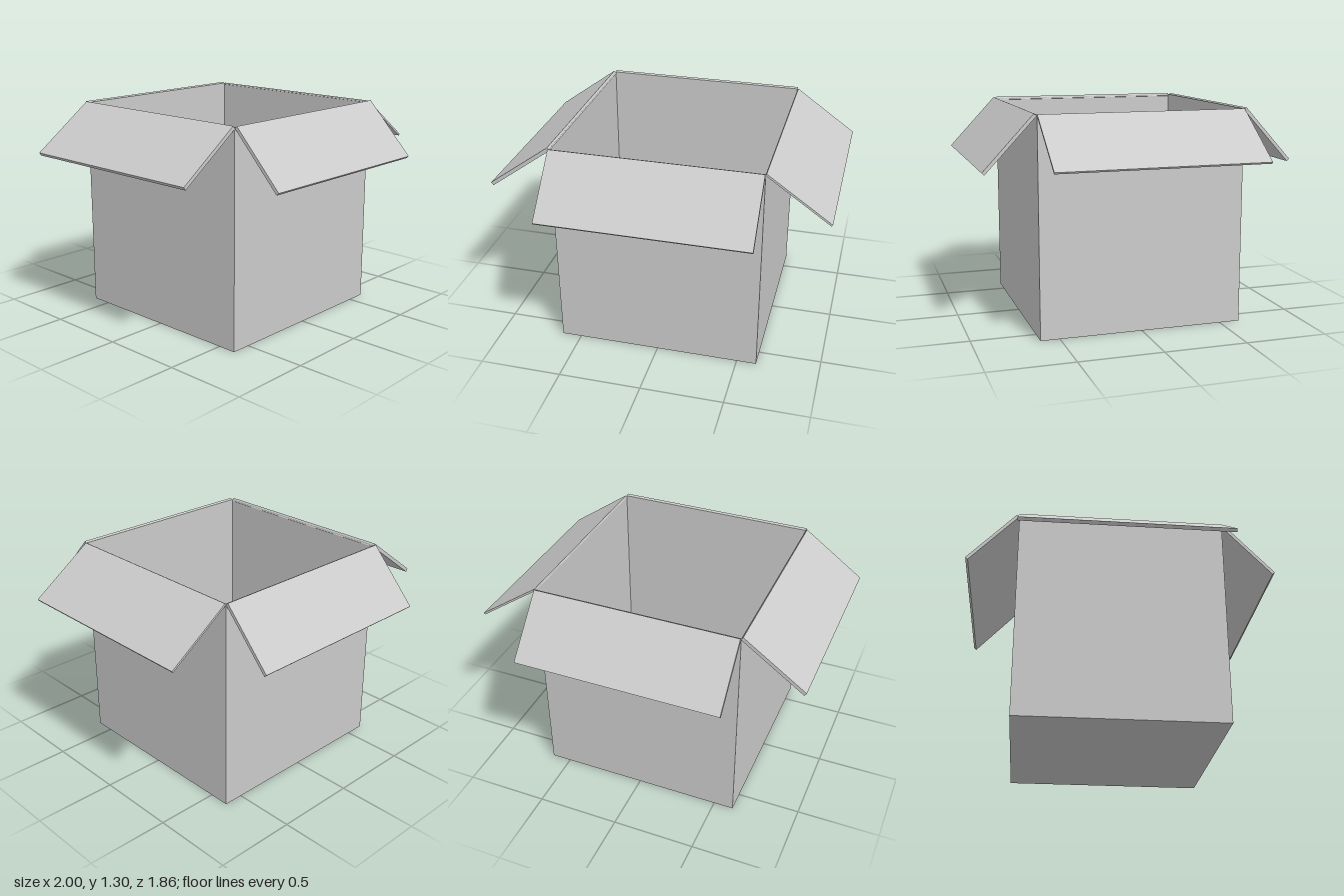
import * as THREE from 'three';

export function createModel() {
  const model = new THREE.Group();
  const card = new THREE.MeshStandardMaterial({ color: 0xcccccc, flatShading: true, side: THREE.DoubleSide });

  const W = 1.24, H = 1.295, ZC = -0.005; // box width, height and z centre

  // Thin sheet panels of the open box
  const panel = (name, h, pos, rx, ry) => {
    const mesh = new THREE.Mesh(new THREE.PlaneGeometry(W, h), card);
    mesh.name = name;
    mesh.position.set(...pos);
    mesh.rotation.set(rx, ry, 0);
    model.add(mesh);
  };
  panel('frontWall', H, [0, H / 2, ZC + W / 2], 0, 0);
  panel('backWall', H, [0, H / 2, ZC - W / 2], 0, Math.PI);
  panel('leftWall', H, [W / 2, H / 2, ZC], 0, Math.PI / 2);
  panel('rightWall', H, [-W / 2, H / 2, ZC], 0, -Math.PI / 2);
  panel('floor', W, [0, 0, ZC], Math.PI / 2, 0);

  // Folded-out flaps: upper edge runs from hinge to tip, given as [distance outward, height]
  const flap = (name, hinge, tip, thick, turn, zc) => {
    const dx = tip[0] - hinge[0], dy = tip[1] - hinge[1];
    const len = Math.hypot(dx, dy);
    const geo = new THREE.BoxGeometry(len, thick, W);
    geo.translate(len / 2, -thick / 2, 0);
    geo.rotateZ(Math.atan2(dy, dx));
    geo.translate(hinge[0], hinge[1], 0);
    geo.rotateY(turn);
    const mesh = new THREE.Mesh(geo, card);
    mesh.name = name;
    mesh.position.z = zc;
    model.add(mesh);
  };
  flap('leftFlap', [0.625, 1.297], [1.0, 1.033], 0.012, 0, ZC);
  flap('rightFlap', [0.63, 1.303], [1.0, 1.035], 0.022, Math.PI, ZC);
  flap('frontFlap', [0.632, 1.302], [0.927, 0.987], 0.02, -Math.PI / 2, 0);
  flap('backFlap', [0.64, 1.302], [0.93, 0.987], 0.02, Math.PI / 2, 0);

  return model;
}
